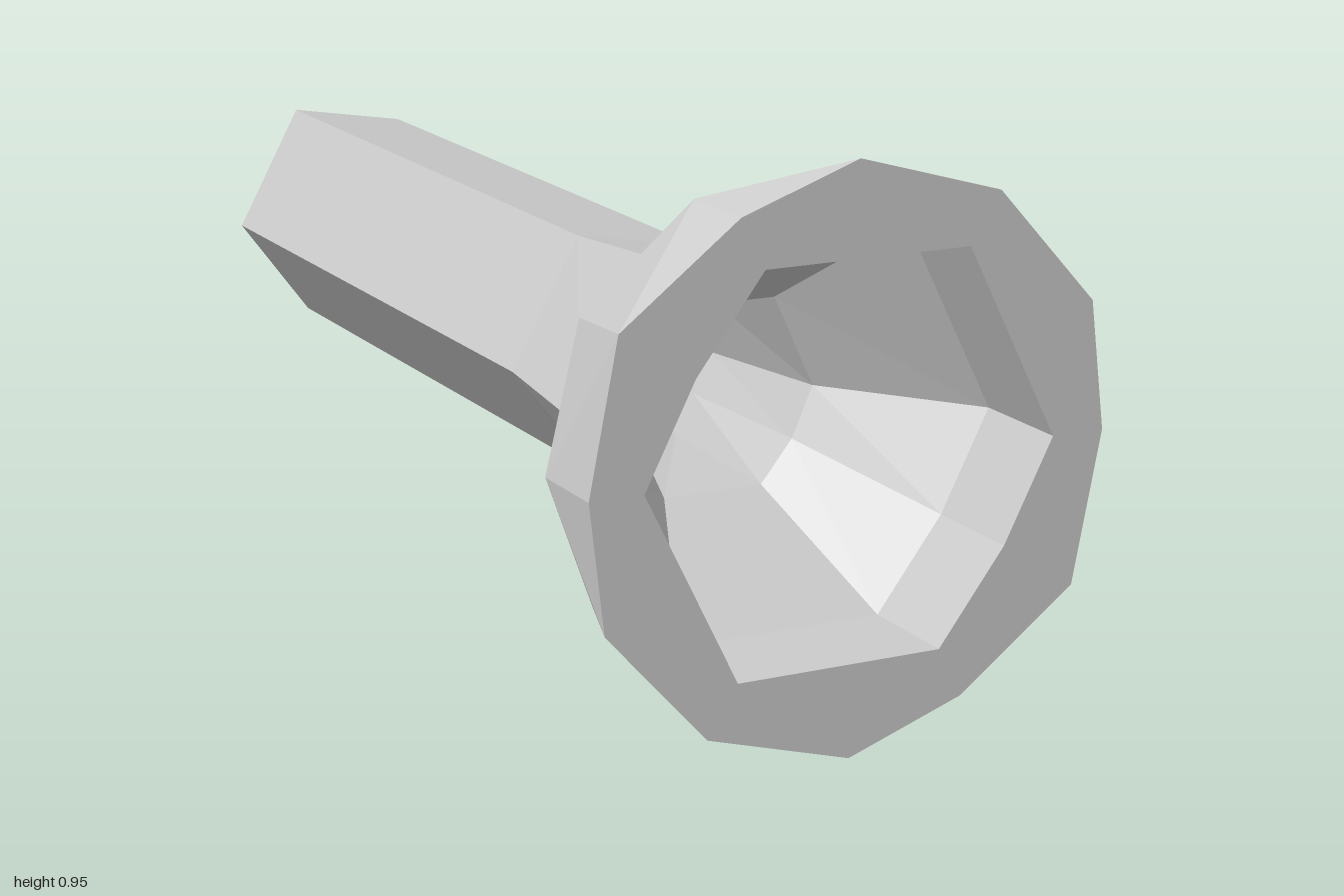
import * as THREE from 'three';
import { ConvexGeometry } from 'three/addons/geometries/ConvexGeometry.js';

const R = 0.475, CY = 0.475;
const material = new THREE.MeshStandardMaterial({ color: 0xcccccc, flatShading: true });

function add(group, name, geometry) {
  const mesh = new THREE.Mesh(geometry, material);
  mesh.name = name;
  group.add(mesh);
}

// Ring of [x, y] pairs placed at depth z (a number, or a rule of x)
function ring(points, z) {
  return points.map(([x, y]) => new THREE.Vector3(x, y, typeof z === 'function' ? z(x) : z));
}

// Faceted skin through rings that run anticlockwise as seen from +z
function loft(rings) {
  const corners = [];
  for (let k = 0; k + 1 < rings.length; k++) {
    const a = rings[k], b = rings[k + 1], n = a.length;
    for (let i = 0; i < n; i++) {
      const j = (i + 1) % n;
      corners.push(a[i], b[i], a[j], a[j], b[i], b[j]);
    }
  }
  const geometry = new THREE.BufferGeometry().setFromPoints(corners);
  geometry.computeVertexNormals();
  return geometry;
}

// A point mirrored half a turn about the bell axis
const opposite = ([x, y]) => [-x, 2 * CY - y];
const withOpposites = (half) => [...half, ...half.map(opposite)];

// Front outline of the bell: where the faceted ball is cut in half
const outline = withOpposites([
  [0.452, CY], [0.425, CY + 0.212], [0.25, CY + 0.404],
  [0, CY + R], [-0.202, CY + 0.404], [-0.404, CY + 0.25],
]);

// Half of a once-divided icosahedron, open at the front and around the tube
function domeGeometry() {
  const points = ring(outline, 1);
  const addRing = (radius, dy, start, step) => {
    for (let d = start; d < 360; d += step) {
      const a = THREE.MathUtils.degToRad(d);
      const depth = radius * Math.sin(a);
      if (depth > 0.01) points.push(new THREE.Vector3(radius * Math.cos(a), CY + dy, 1 - depth));
    }
  };
  addRing(R, 0, 18, 36);
  for (const s of [1, -1]) {
    const shift = s > 0 ? 0 : 36;
    addRing(0.25, s * 0.404, shift, 72);
    addRing(0.425, s * 0.2124, shift, 72);
    addRing(0.404, s * 0.25, 36 - shift, 72);
  }
  const hull = new ConvexGeometry(points).getAttribute('position');
  const kept = [];
  for (let i = 0; i < hull.count; i += 3) {
    const tri = [0, 1, 2].map((k) => new THREE.Vector3().fromBufferAttribute(hull, i + k));
    const isFrontCap = tri.every((p) => p.z > 0.999);
    const touchesTube = tri.some((p) => p.z < 1 - R + 0.01);
    if (!isFrontCap && !touchesTube) kept.push(...tri);
  }
  const geometry = new THREE.BufferGeometry().setFromPoints(kept);
  geometry.computeVertexNormals();
  return geometry;
}

export function createModel() {
  const group = new THREE.Group();
  const endZ = (x) => -0.993 - 0.04 * x;

  // Hexagonal tube sections, starting at +x
  const root = [
    [0.279, CY, 0.615], [0.131, 0.687, 0.596], [-0.125, 0.725, 0.616],
    [-0.279, CY, 0.615], [-0.131, 0.263, 0.596], [0.125, 0.225, 0.616],
  ].map((p) => new THREE.Vector3(...p));
  const tube = [[0.18, 0.475], [0.115, 0.656], [-0.108, 0.695],
    [-0.23, 0.473], [-0.09, 0.288], [0.105, 0.288]];

  // Bore sections: six corners plus a point on two opposite sides
  const addMiddles = (p) => {
    const mid = (a, b) => [(a[0] + b[0]) / 2, (a[1] + b[1]) / 2];
    return [p[0], p[1], p[2], mid(p[2], p[3]), p[3], p[4], p[5], mid(p[5], p[0])];
  };
  const boreEnd = [[0.133, 0.47], [0.087, 0.605], [-0.067, 0.632],
    [-0.155, 0.47], [-0.06, 0.352], [0.07, 0.335]];
  const boreMiddle = [[0.148, 0.464], [0.095, 0.603], [-0.07, 0.633],
    [-0.158, 0.468], [-0.057, 0.34], [0.08, 0.324]];
  const throat = withOpposites([[0.175, CY], [0.1, 0.633], [-0.08, 0.633], [-0.137, 0.562]]);
  const mouth = withOpposites([[0.36, CY], [0.198, 0.796], [-0.16, 0.796], [-0.275, 0.643]]);

  add(group, 'bellDome', domeGeometry());

  // Flat rim around the mouth
  const toPoints = (list) => list.map(([x, y]) => new THREE.Vector2(x, y));
  const rim = new THREE.Shape(toPoints(outline));
  rim.holes.push(new THREE.Path(toPoints(mouth)));
  add(group, 'bellRim', new THREE.ShapeGeometry(rim).translate(0, 0, 1));

  // Tube outside, closing over its end wall to the bore
  add(group, 'tube', loft([root, ring(tube, 0.27), ring(tube, endZ), ring(boreEnd, endZ)]));

  // Bore and funnel, from the tube end forward to the mouth
  add(group, 'bore', loft([
    ring(addMiddles(boreEnd), endZ), ring(addMiddles(boreMiddle), 0.27), ring(throat, 0.57),
  ]));
  add(group, 'funnel', loft([ring(throat, 0.57), ring(mouth, 0.815), ring(mouth, 1)]));

  return group;
}
